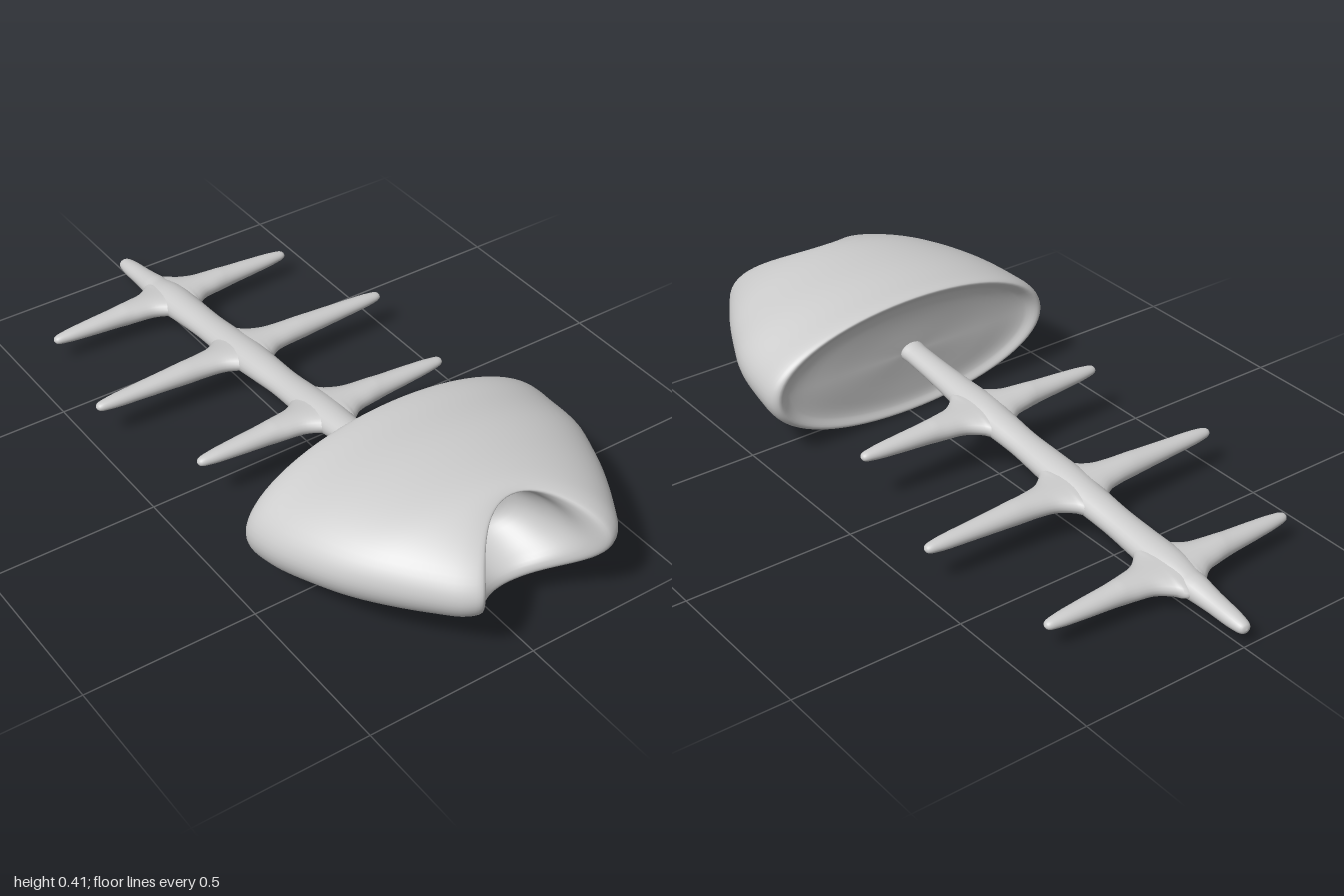
import * as THREE from 'three';
import { mergeVertices } from 'three/addons/utils/BufferGeometryUtils.js';

const material = new THREE.MeshStandardMaterial({ color: 0xcccccc, side: THREE.DoubleSide });

// Weld seams and recompute smooth normals
function smooth(geometry) {
  geometry.deleteAttribute('uv');
  geometry.deleteAttribute('normal');
  const g = mergeVertices(geometry, 1e-4);
  g.computeVertexNormals();
  return g;
}

function mesh(name, geometry) {
  const m = new THREE.Mesh(geometry, material);
  m.name = name;
  return m;
}

// Height of the sloping spine at a given z
const spineY = z => 0.157 + 0.107 * z;

// Head: elliptical rings running from the back face, over the body and lip, into the mouth
// [centre x, half width, bottom y, top y, z at sides, z at top, z at bottom]
const HEAD = [
  [0, 0, 0.2, 0.2, 0.43, 0.43, 0.43],
  [0, 0.25, 0.09, 0.31, 0.43, 0.42, 0.44],
  [0, 0.41, 0.035, 0.37, 0.425, 0.405, 0.44],
  [0, 0.455, 0.01, 0.395, 0.405, 0.388, 0.43],
  [0, 0.474, 0.002, 0.402, 0.425, 0.4, 0.44],
  [0, 0.472, 0.015, 0.405, 0.51, 0.48, 0.5],
  [0.005, 0.45, 0.04, 0.412, 0.62, 0.58, 0.6],
  [0.005, 0.41, 0.063, 0.412, 0.72, 0.68, 0.7],
  [0.01, 0.362, 0.08, 0.41, 0.81, 0.76, 0.77],
  [0.02, 0.295, 0.09, 0.405, 0.91, 0.805, 0.81],
  [0.03, 0.235, 0.098, 0.396, 0.98, 0.83, 0.845],
  [0.03, 0.197, 0.112, 0.387, 0.995, 0.84, 0.855],
  [0.025, 0.165, 0.132, 0.375, 0.95, 0.82, 0.845],
  [0.02, 0.14, 0.155, 0.355, 0.85, 0.76, 0.79],
  [0.02, 0.09, 0.19, 0.32, 0.74, 0.7, 0.72],
  [0.02, 0, 0.25, 0.25, 0.69, 0.69, 0.69],
];

function headGeometry() {
  const around = 72, along = (HEAD.length - 1) * 5;
  const positions = [], index = [];
  for (let j = 0; j < around; j++) {
    const a = (j / around) * Math.PI * 2, c = Math.cos(a), s = Math.sin(a);
    const line = new THREE.CatmullRomCurve3(HEAD.map(([cx, hw, yb, yt, zs, zt, zb]) =>
      new THREE.Vector3(
        cx + hw * c,
        (yb + yt) / 2 + s * (yt - yb) / 2,
        zs * c * c + (s > 0 ? zt : zb) * s * s)));
    for (const p of line.getPoints(along)) positions.push(p.x, p.y, p.z);
  }
  for (let j = 0; j < around; j++) {
    for (let i = 0; i < along; i++) {
      const a = j * (along + 1) + i, b = ((j + 1) % around) * (along + 1) + i;
      index.push(a, b, a + 1, b, b + 1, a + 1);
    }
  }
  const g = new THREE.BufferGeometry();
  g.setAttribute('position', new THREE.Float32BufferAttribute(positions, 3));
  g.setIndex(index);
  return smooth(g);
}

// Round bar along y from [radius, position] pairs
function barGeometry(profile, steps) {
  const curve = new THREE.CatmullRomCurve3(profile.map(([r, t]) => new THREE.Vector3(r, t, 0)));
  const points = curve.getPoints(steps).map(p => new THREE.Vector2(Math.max(p.x, 0), p.y));
  return new THREE.LatheGeometry(points, 24);
}

// Spine: slightly flattened tapering rod, sheared to follow the slope
function spineGeometry() {
  const g = barGeometry([
    [0, -1], [0.016, -0.993], [0.025, -0.96], [0.032, -0.87], [0.042, -0.79], [0.054, -0.72],
    [0.05, -0.6], [0.047, -0.5], [0.05, -0.4], [0.054, -0.3], [0.05, -0.2], [0.046, -0.1],
    [0.05, 0], [0.054, 0.08], [0.046, 0.2], [0.04, 0.3], [0.037, 0.4], [0.036, 0.435], [0, 0.445],
  ], 90);
  g.rotateX(Math.PI / 2);
  const p = g.attributes.position;
  for (let i = 0; i < p.count; i++) {
    const thin = p.getZ(i) < -0.8 ? 0.85 : 0.76;
    p.setXYZ(i, p.getX(i) - 0.008, p.getY(i) * thin + spineY(p.getZ(i)), p.getZ(i));
  }
  return smooth(g);
}

// Rib pair: one bar tapering to both tips, flaring into a flat web at the spine
function ribGeometry(half) {
  const side = [[0, half], [0.012, half - 0.007], [0.02, half - 0.04], [0.028, half * 0.7],
    [0.036, half * 0.45], [0.043, 0.14], [0.055, 0.09], [0.085, 0.05], [0.11, 0.03]];
  const profile = [...side.map(([r, t]) => [r, -t]), ...side.reverse()];
  const g = barGeometry(profile, 80);
  g.rotateZ(Math.PI / 2);
  const p = g.attributes.position;
  for (let i = 0; i < p.count; i++) {
    const r = Math.hypot(p.getY(i), p.getZ(i));
    if (r > 0) p.setY(i, p.getY(i) * Math.min(r * 0.85, 0.032) / r);
  }
  return smooth(g);
}

export function createModel() {
  const model = new THREE.Group();
  model.name = 'fishSkeleton';
  model.add(mesh('head', headGeometry()));

  const bones = new THREE.Group();
  bones.name = 'backbone';
  bones.add(mesh('spine', spineGeometry()));
  for (const [name, z, half] of [['frontRibs', 0.08, 0.405], ['middleRibs', -0.325, 0.484], ['rearRibs', -0.718, 0.405]]) {
    const ribs = mesh(name, ribGeometry(half));
    ribs.position.set(0, spineY(z), z);
    ribs.rotation.x = -0.107;
    bones.add(ribs);
  }
  model.add(bones);
  return model;
}
